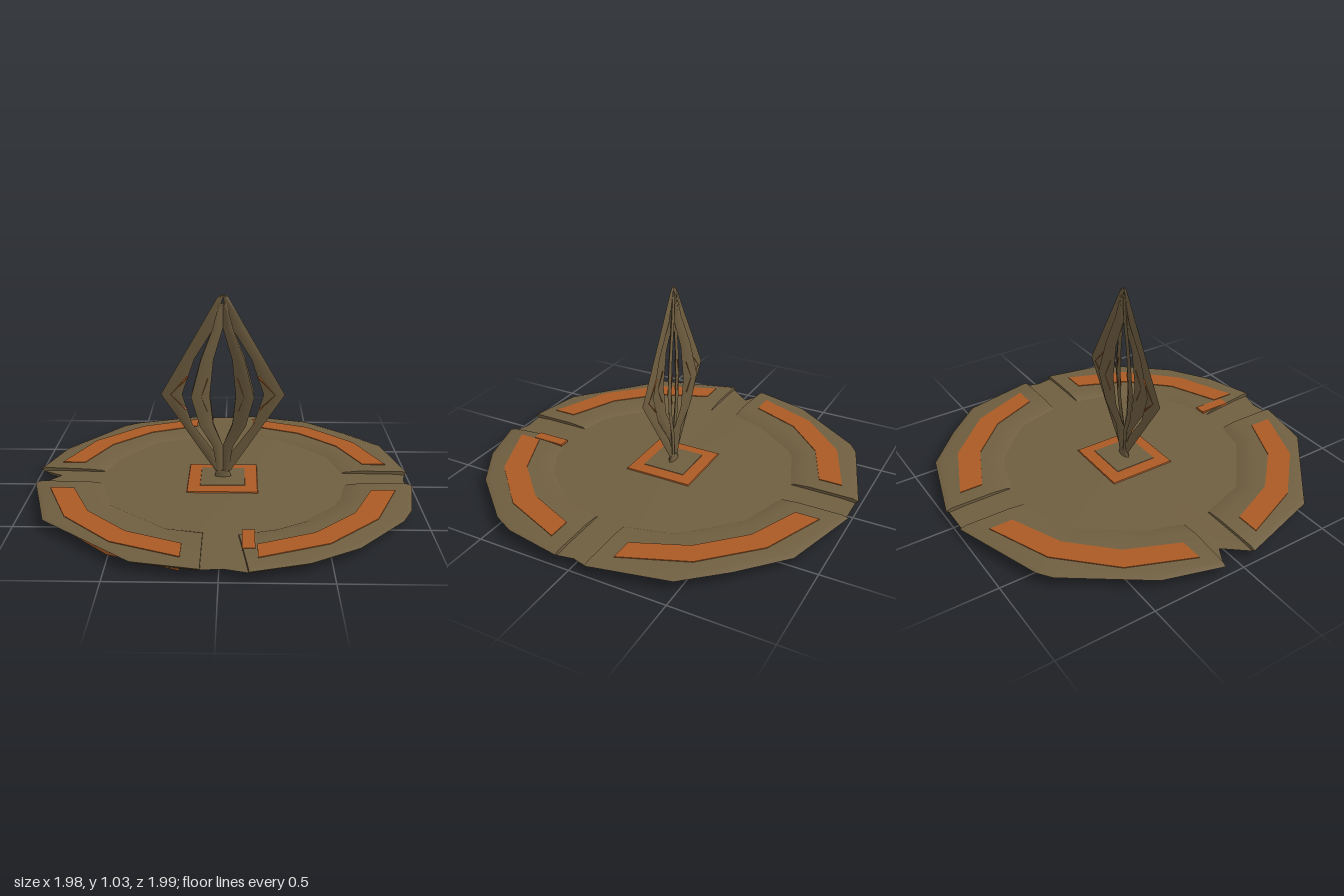
import * as THREE from 'three';
import { toCreasedNormals } from 'three/addons/utils/BufferGeometryUtils.js';

const bronze = new THREE.MeshStandardMaterial({ color: 0x6f5e40, side: THREE.DoubleSide });
const orange = new THREE.MeshStandardMaterial({ color: 0xab5a24, side: THREE.DoubleSide });

// Skin over closed cross-sections, capped at both ends and always facing outwards
function loft(rings, crease = 1) {
  const n = rings[0].length, pos = rings.flat(2), idx = [];
  for (let i = 0; i < rings.length - 1; i++) {
    for (let j = 0; j < n; j++) {
      const a = i * n + j, b = i * n + (j + 1) % n;
      idx.push(a, b, a + n, b, b + n, a + n);
    }
  }
  [0, rings.length - 1].forEach((r, end) => {
    const c = pos.length / 3, mid = [0, 1, 2].map(k => rings[r].reduce((s, p) => s + p[k], 0) / n);
    pos.push(...mid);
    for (let j = 0; j < n; j++) {
      const a = r * n + j, b = r * n + (j + 1) % n;
      idx.push(...(end ? [c, a, b] : [c, b, a]));
    }
  });
  let volume = 0;
  const v = i => new THREE.Vector3().fromArray(pos, i * 3);
  for (let t = 0; t < idx.length; t += 3) volume += v(idx[t]).dot(v(idx[t + 1]).cross(v(idx[t + 2])));
  if (volume < 0) idx.reverse();
  const g = new THREE.BufferGeometry();
  g.setAttribute('position', new THREE.Float32BufferAttribute(pos, 3));
  g.setIndex(idx);
  g.computeVertexNormals();
  return toCreasedNormals(g, crease);
}

function add(parent, name, geometry, material) {
  const m = new THREE.Mesh(geometry, material);
  m.name = name;
  parent.add(m);
  return m;
}

// Hewn outline of each quarter of the rim, as [x, z]
const quarters = [
  [[0.08, -1], [0.5, -0.88], [0.72, -0.68], [0.9, -0.48], [0.99, -0.08]],
  [[0.985, 0.08], [0.93, 0.38], [0.87, 0.5], [0.63, 0.77], [0.4, 0.91], [0.13, 0.99]],
  [[-0.08, 0.97], [-0.39, 0.91], [-0.62, 0.715], [-0.85, 0.52], [-0.98, 0.08]],
  [[-0.99, -0.1], [-0.9, -0.4], [-0.62, -0.79], [-0.55, -0.84], [-0.08, -1]],
];
// Bottom of the gap after each quarter
const notches = [[0.97, 0], [0.02, 0.96], [-0.88, -0.04], [0, -1]];

// Rim profile: scale of the outline, height
const rimProfile = [[0.62, 0.03], [0.66, 0.048], [0.74, 0.055], [0.97, 0.055], [1, 0.046], [0.95, 0.012], [0.7, 0.012]];

// Arc band in the +x +z quarter, square cut at both ends
function band(outer, inner, end, y0, y1) {
  const at = (r, k) => {
    const lim = Math.asin(end / r), a = lim + (Math.PI / 2 - 2 * lim) * k / 3;
    return [r * Math.cos(a), r * Math.sin(a)];
  };
  return loft([0, 1, 2, 3].map(k => {
    const [ox, oz] = at(outer, k), [ix, iz] = at(inner, k);
    return [[ox, y0, oz], [ox, y1, oz], [ix, y1, iz], [ix, y0, iz]];
  }), 0.6);
}

// Thin lens-section rib; rows are [height, outer x, inner x]
function rib(rows, side, thick) {
  return loft(rows.map(([y, o, i]) => {
    const m = (o + i) / 2;
    return [[side * o, y, 0], [side * m, y, thick], [side * i, y, 0], [side * m, y, -thick]];
  }), 1.2);
}

const wideRib = [[1.03, 0.015, 0], [1.015, 0.03, 0], [0.86, 0.118, 0.045], [0.7, 0.21, 0.145],
  [0.51, 0.32, 0.21], [0.35, 0.214, 0.16], [0.2, 0.115, 0.05], [0.08, 0.035, 0]];
const narrowRib = [[0.99, 0.02, 0], [0.86, 0.055, 0], [0.7, 0.118, 0.05], [0.51, 0.17, 0.07],
  [0.35, 0.125, 0.052], [0.23, 0.055, 0], [0.08, 0.03, 0]];

export function createModel() {
  const model = new THREE.Group();

  // Disc
  const outline = quarters.flatMap((q, i) => [...q, notches[i]]);
  const level = (s, y) => outline.map(([x, z]) => [x * s, y, z * s]);
  add(model, 'baseDisc', loft([level(0.94, 0.01), level(0.985, 0.034), level(0.9, 0.04)]), bronze);

  // Raised rim quarters with parallel-sided gaps between them
  const keep = (v, f) => Math.sign(v) * Math.max(Math.abs(v * f), 0.08);
  quarters.forEach((q, i) => {
    const rings = q.map(([x, z]) => rimProfile.map(([f, y]) => [keep(x, f), y, keep(z, f)]));
    add(model, 'rimQuarter' + (i + 1), loft(rings), bronze);
  });

  // Inlaid bands above and below
  const topBand = band(0.9, 0.78, 0.17, 0.045, 0.059);
  const underBand = band(0.92, 0.7, 0.17, 0, 0.02);
  for (let i = 0; i < 4; i++) {
    add(model, 'topBand' + (i + 1), topBand, orange).rotation.y = i * Math.PI / 2;
    add(model, 'underBand' + (i + 1), underBand, orange).rotation.y = i * Math.PI / 2;
  }
  const strip = add(model, 'gapStrip', new THREE.BoxGeometry(0.06, 0.012, 0.18), orange);
  strip.position.set(0.13, 0.052, 0.71);

  // Square frame round the foot: orange border, bronze inner slope
  const square = (h, y) => [[-h, y, -h], [h, y, -h], [h, y, h], [-h, y, h]];
  add(model, 'frameBorder', loft([square(0.185, 0.035), square(0.18, 0.046), square(0.13, 0.052)], 0.3), orange);
  add(model, 'frameSlope', loft([square(0.12, 0.045), square(0.115, 0.054), square(0.07, 0.057)], 0.3), bronze);

  // Foot of the ornament
  const foot = add(model, 'foot', new THREE.CylinderGeometry(0.035, 0.045, 0.045, 8), bronze);
  foot.position.y = 0.07;
  foot.scale.z = 0.4;

  // Ornament: one wide diamond and two narrow ones crossing it
  [[0, wideRib, 0.007], [0.32, narrowRib, 0.009], [-0.32, narrowRib, 0.009]].forEach(([turn, rows, thick], i) => {
    const blade = new THREE.Group();
    blade.name = ['wideDiamond', 'narrowDiamondA', 'narrowDiamondB'][i];
    blade.rotation.y = turn;
    for (const side of [1, -1]) {
      add(blade, side > 0 ? 'leftRib' : 'rightRib', rib(rows, side, thick), bronze);
      // Orange sliver along the middle of each rib
      const sliver = rows.filter(r => r[0] > 0.3 && r[0] < 0.75).map(([y, o, n]) => {
        const m = n + (o - n) * 0.5;
        return [0.51 + (y - 0.51) * 0.5, m + (i ? 0 : 0.012), m - 0.004];
      });
      add(blade, 'inlay', rib(sliver, side, thick + 0.001), orange);
    }
    model.add(blade);
  });

  return model;
}
